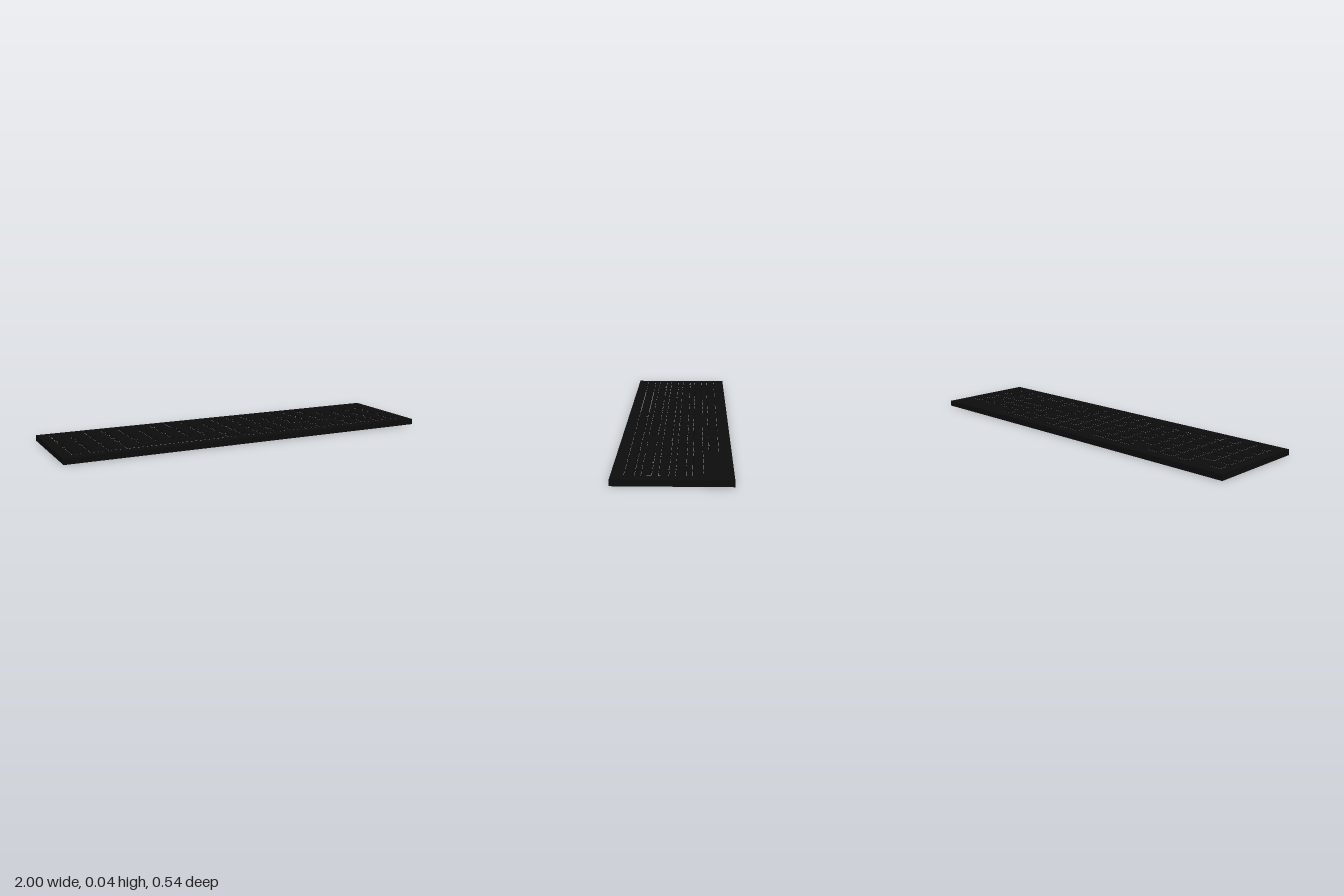
import * as THREE from 'three';

const W = 2, D = 0.538, PLATE = 0.0295;        // case size
const KEY_W = 0.058, KEY_D = 0.045, KEY_H = 0.0135, INSET = 0.0055;
const PITCH_X = 0.0914, PITCH_Z = 0.0746;

// One string per row, back to front: k = key, S = space bar start, . = empty
const ROWS = [
  'k.kkk.kkk.kkk.kkk....',
  'kkkkkkkkkkkkkkkkkkkkk',
  'kkkkkkkkkkkkkkkkkkkkk',
  'kkkkkkkkkkkkkkkkkkkkk',
  'kkkkkkkkkkkkkk.k.kkkk',
  'kkkS.....kkkkkkkkkkkk',
];
const SPACE_COLS = 6;

const material = new THREE.MeshStandardMaterial({ color: 0x0c0c0c });

function mesh(name, geometry) {
  const m = new THREE.Mesh(geometry, material);
  m.name = name;
  return m;
}

// Key cap: a box whose top is drawn in evenly on all four sides
function capGeometry(w) {
  const g = new THREE.BoxGeometry(w, KEY_H, KEY_D);
  const p = g.attributes.position;
  for (let i = 0; i < p.count; i++) {
    if (p.getY(i) < 0) continue;
    p.setX(i, p.getX(i) - Math.sign(p.getX(i)) * INSET);
    p.setZ(i, p.getZ(i) - Math.sign(p.getZ(i)) * INSET);
  }
  g.computeVertexNormals();
  return g.translate(0, KEY_H / 2, 0);
}

function rectangle(path, x, y, w, d) {
  path.moveTo(x - w / 2, y - d / 2);
  path.lineTo(x + w / 2, y - d / 2);
  path.lineTo(x + w / 2, y + d / 2);
  path.lineTo(x - w / 2, y + d / 2);
  path.closePath();
  return path;
}

export function createModel() {
  const model = new THREE.Group();
  model.name = 'keyboard';

  // Key positions
  const layout = [];
  ROWS.forEach((row, r) => [...row].forEach((c, i) => {
    if (c === '.') return;
    const cols = c === 'S' ? SPACE_COLS : 1;
    layout.push({
      name: c === 'S' ? 'spaceBar' : 'key',
      x: (i + (cols - 1) / 2 - 10) * PITCH_X,
      z: (r - 2.5) * PITCH_Z + 0.001,
      w: KEY_W + (cols - 1) * PITCH_X,
      gap: c === 'S' ? 0.003 : 0.0015,
    });
  }));

  // Case: bottom and sides only, the top is the pierced plate
  const shell = new THREE.BoxGeometry(W, PLATE, D).translate(0, PLATE / 2, 0);
  const index = Array.from(shell.index.array);
  index.splice(12, 6);
  shell.setIndex(index);
  shell.clearGroups();
  model.add(mesh('case', shell));

  // Top plate with a narrow gap round every key
  const plate = rectangle(new THREE.Shape(), 0, 0, W, D);
  for (const k of layout) {
    plate.holes.push(rectangle(new THREE.Path(), k.x, -k.z, k.w + k.gap * 2, KEY_D + k.gap * 2));
  }
  const plateGeometry = new THREE.ShapeGeometry(plate).rotateX(-Math.PI / 2).translate(0, PLATE, 0);
  model.add(mesh('topPlate', plateGeometry));

  // Keys
  const keys = new THREE.Group();
  keys.name = 'keys';
  const cap = capGeometry(KEY_W);
  for (const k of layout) {
    const key = mesh(k.name, k.name === 'key' ? cap : capGeometry(k.w));
    key.position.set(k.x, PLATE, k.z);
    keys.add(key);
  }
  model.add(keys);
  return model;
}
